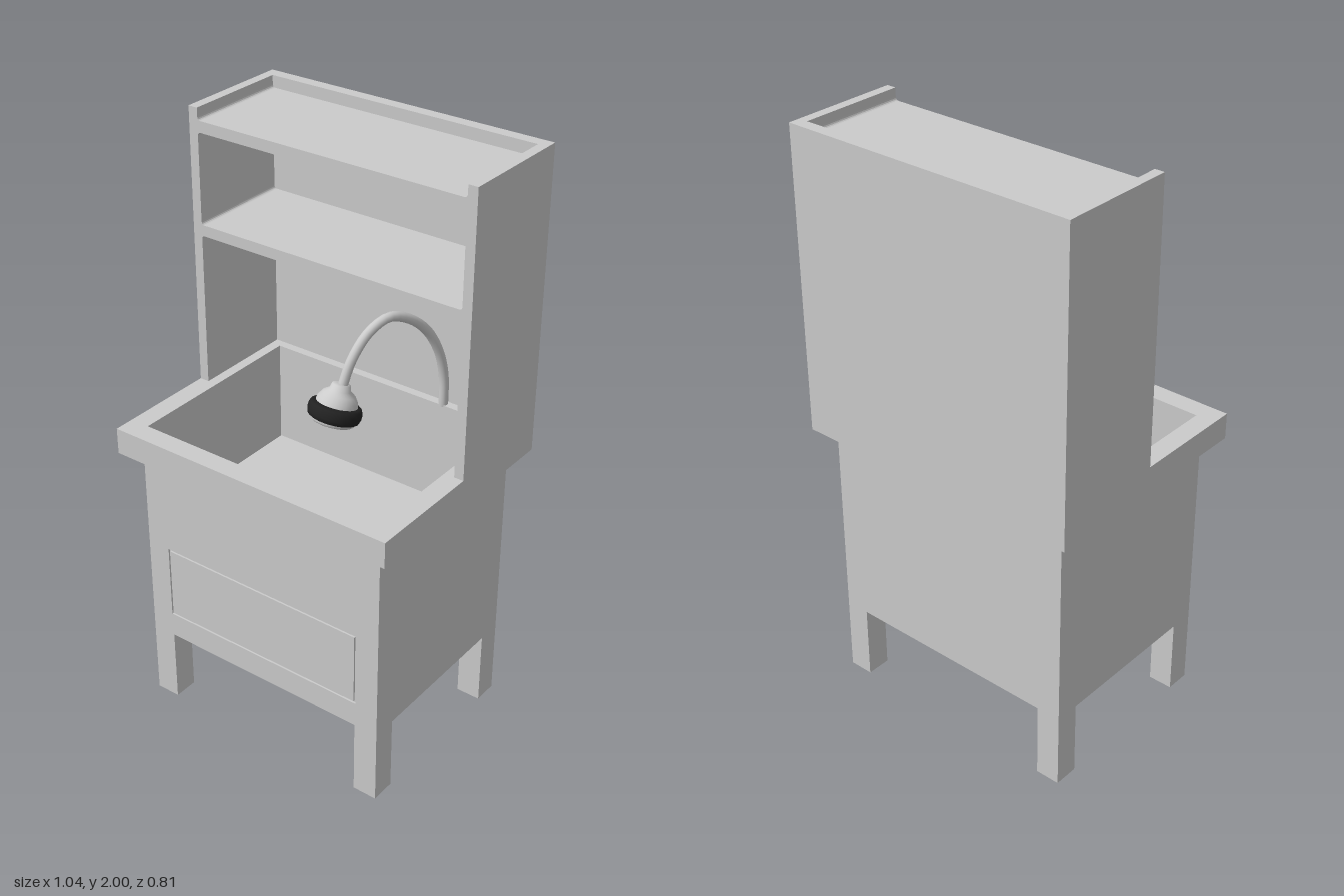
import * as THREE from 'three';

const grey = new THREE.MeshStandardMaterial({ color: 0xcccccc });
const black = new THREE.MeshStandardMaterial({ color: 0x222222 });

export function createModel() {
  const model = new THREE.Group();

  const add = (name, geometry, material = grey, parent = model) => {
    const mesh = new THREE.Mesh(geometry, material);
    mesh.name = name;
    parent.add(mesh);
    return mesh;
  };
  // Box given by its lower and upper corners
  const box = (name, x0, x1, y0, y1, z0, z1) =>
    add(name, new THREE.BoxGeometry(x1 - x0, y1 - y0, z1 - z0))
      .position.set((x0 + x1) / 2, (y0 + y1) / 2, (z0 + z1) / 2);
  const rect = (x0, x1, y0, y1, Type = THREE.Shape) => new Type().setFromPoints([
    new THREE.Vector2(x0, y0), new THREE.Vector2(x1, y0),
    new THREE.Vector2(x1, y1), new THREE.Vector2(x0, y1), new THREE.Vector2(x0, y0)]);
  const extrude = (shape, depth) =>
    new THREE.ExtrudeGeometry(shape, { depth, bevelEnabled: false, curveSegments: 4 });

  const W = 0.518, D = 0.405;          // worktop half sizes
  const CW = 0.4625, CD = 0.348;       // cabinet half sizes
  const BW = 0.45, BD = 0.335;         // basin half sizes
  const TOP = 1.055, UNDER = 0.965, BASE = 0.265, FLOOR = 0.695;

  // Legs
  for (const sx of [-1, 1]) for (const sz of [-1, 1]) {
    const x = sx * (CW - 0.0425), z = sz * (CD - 0.0425);
    box('leg', x - 0.0425, x + 0.0425, 0, BASE, z - 0.0425, z + 0.0425);
  }

  // Cabinet walls, which also line the basin
  for (const s of [-1, 1]) {
    const x = s * (CW + BW) / 2, h = (CW - BW) / 2;
    box('cabinetSide', x - h, x + h, BASE, UNDER, -CD, CD);
  }
  box('cabinetBack', -CW, CW, BASE, UNDER, -CD, -BD);
  box('cabinetFrontBacking', -BW, BW, BASE, UNDER, BD, CD - 0.006);
  box('cabinetBottom', -CW, CW, BASE, BASE + 0.02, -CD, CD);
  box('basinFloor', -BW, BW, FLOOR - 0.02, FLOOR, -BD, BD);

  // Front face with a groove around the drawer panel
  const face = rect(-CW, CW, BASE, UNDER);
  face.holes.push(rect(-0.38, 0.38, 0.353, 0.618, THREE.Path));
  add('cabinetFront', extrude(face, 0.006)).position.z = CD - 0.006;
  box('drawerPanel', -0.373, 0.373, 0.36, 0.611, CD - 0.006, CD);

  // Worktop rim around the open basin
  const rim = rect(-W, W, -D, D);
  rim.holes.push(rect(-BW, BW, -BD, BD, THREE.Path));
  const rimGeometry = extrude(rim, TOP - UNDER);
  rimGeometry.rotateX(-Math.PI / 2);
  add('worktop', rimGeometry).position.y = UNDER;

  // Shelf unit: one outline with slightly rounded inner corners
  const IN = 0.485, r = 0.012;
  const unit = new THREE.Shape();
  unit.moveTo(-W, TOP);
  unit.lineTo(-IN, TOP);
  unit.lineTo(-IN, 1.58 - r);
  unit.quadraticCurveTo(-IN, 1.58, -IN + r, 1.58);
  unit.lineTo(IN - r, 1.58);
  unit.quadraticCurveTo(IN, 1.58, IN, 1.58 - r);
  unit.lineTo(IN, TOP);
  unit.lineTo(W, TOP);
  unit.lineTo(W, 2);
  unit.lineTo(IN, 2);
  unit.lineTo(IN, 1.96 + r);
  unit.quadraticCurveTo(IN, 1.96, IN - r, 1.96);
  unit.lineTo(-IN + r, 1.96);
  unit.quadraticCurveTo(-IN, 1.96, -IN, 1.96 + r);
  unit.lineTo(-IN, 2);
  unit.lineTo(-W, 2);
  unit.closePath();
  const bay = new THREE.Path();
  const [y0, y1] = [1.617, 1.922];
  bay.moveTo(-IN + r, y0);
  bay.lineTo(IN - r, y0);
  bay.quadraticCurveTo(IN, y0, IN, y0 + r);
  bay.lineTo(IN, y1 - r);
  bay.quadraticCurveTo(IN, y1, IN - r, y1);
  bay.lineTo(-IN + r, y1);
  bay.quadraticCurveTo(-IN, y1, -IN, y1 - r);
  bay.lineTo(-IN, y0 + r);
  bay.quadraticCurveTo(-IN, y0, -IN + r, y0);
  unit.holes.push(bay);
  add('shelfUnit', extrude(unit, 0.365)).position.z = -0.365;
  box('shelfUnitBack', -W, W, TOP, 2, -D, -0.365);

  // Gooseneck tap pipe
  const path = new THREE.CatmullRomCurve3([
    [0.214, 1.05, -0.348], [0.213, 1.16, -0.345], [0.205, 1.26, -0.32],
    [0.187, 1.35, -0.27], [0.163, 1.41, -0.2], [0.14, 1.432, -0.135],
    [0.115, 1.4, -0.065], [0.096, 1.325, -0.005], [0.084, 1.235, 0.03],
  ].map(p => new THREE.Vector3(...p)));
  add('tapPipe', new THREE.TubeGeometry(path, 32, 0.016, 12));

  // Spray head, tilted towards the front
  const head = new THREE.Group();
  head.name = 'sprayHead';
  head.position.set(0.075, 1.165, 0.051);
  head.rotation.set(-0.32, 0, -0.06);
  model.add(head);
  const lathe = (name, points, material) => add(name, new THREE.LatheGeometry(
    points.map(p => new THREE.Vector2(...p)), 24), material, head);
  lathe('sprayDome', [[0.068, 0.02], [0.064, 0.04], [0.052, 0.058], [0.034, 0.071],
    [0.03, 0.088], [0.018, 0.092], [0, 0.092]], grey);
  lathe('sprayGrip', [[0, -0.025], [0.074, -0.025], [0.082, -0.02], [0.086, -0.008],
    [0.086, 0.008], [0.082, 0.02], [0.074, 0.026], [0, 0.026]], black);
  lathe('sprayNozzle', [[0, -0.036], [0.066, -0.036], [0.072, -0.031], [0.073, -0.02]], grey);

  return model;
}
